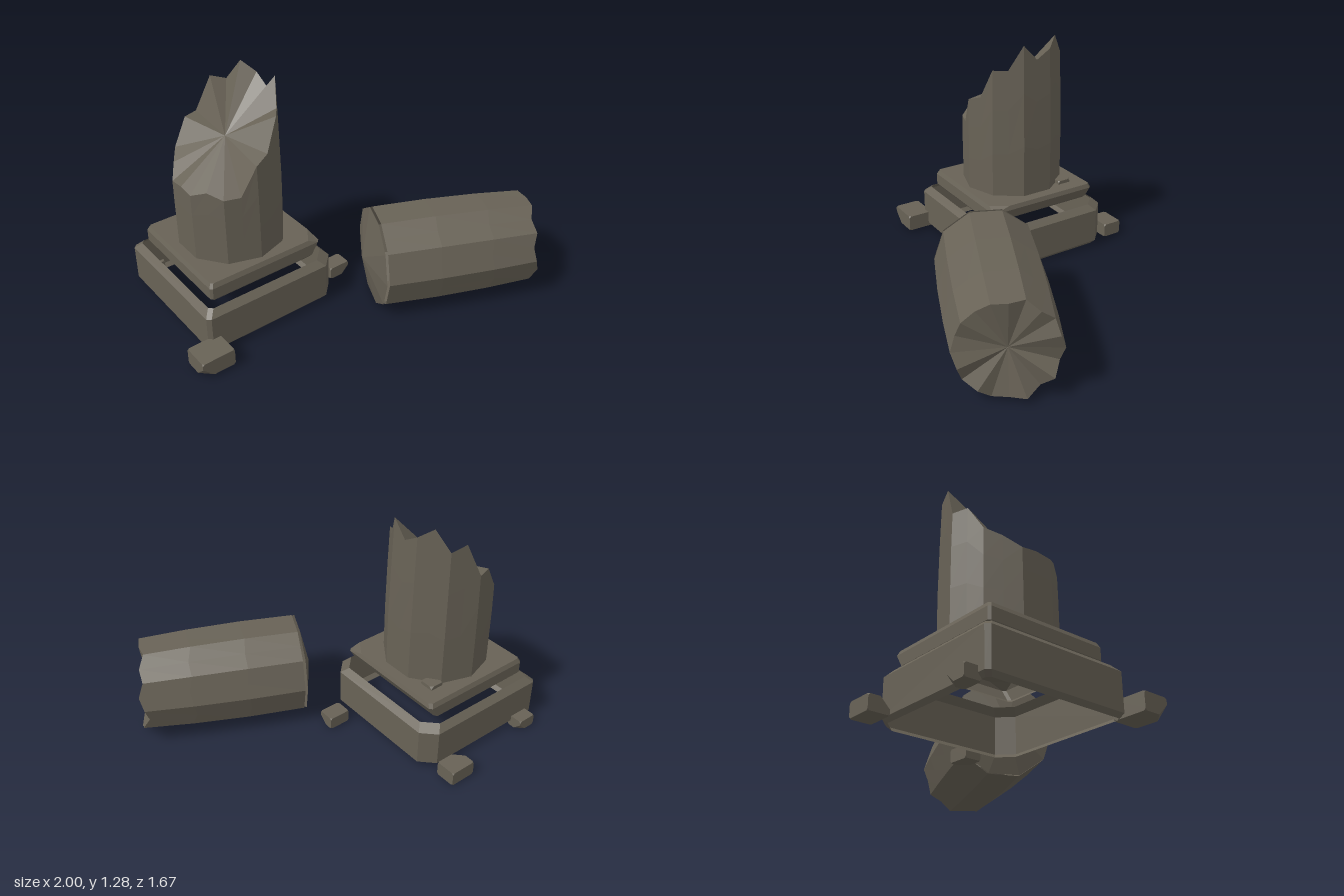
import * as THREE from 'three';
import { ConvexGeometry } from 'three/addons/geometries/ConvexGeometry.js';

const V = (x, y, z) => new THREE.Vector3(x, y, z);

// Skin a stack of equal-length rings; optional points close the bottom and top as fans
function loft(rings, topPoint, bottomPoint) {
  const pts = [];
  const n = rings[0].length;
  for (let r = 0; r + 1 < rings.length; r++) {
    const a = rings[r], b = rings[r + 1];
    for (let k = 0; k < n; k++) {
      const j = (k + 1) % n;
      pts.push(a[k], a[j], b[j], a[k], b[j], b[k]);
    }
  }
  const top = rings[rings.length - 1], low = rings[0];
  for (let k = 0; k < n; k++) {
    const j = (k + 1) % n;
    if (topPoint) pts.push(top[k], top[j], topPoint);
    if (bottomPoint) pts.push(low[j], low[k], bottomPoint);
  }
  const g = new THREE.BufferGeometry().setFromPoints(pts);
  g.computeVertexNormals();
  return g;
}

// Ten-sided ring with a point at each corner and at the middle of each side
function decagon(radius, height) {
  return Array.from({ length: 20 }, (_, k) => {
    const y = height(k), a = k * Math.PI / 10;
    const r = radius(y) * (k % 2 ? Math.cos(Math.PI / 10) : 1);
    return V(r * Math.sin(a), y, r * Math.cos(a));
  });
}

// Broken shaft with a swelling side and a jagged end
function shaft(start, ends, radius, apex) {
  const rings = [0, 0.35, 0.7, 1].map(t => decagon(radius, k => start + t * (ends[k] - start)));
  return loft(rings, V(0, apex, 0));
}

// Rectangle with cut corners: cl on the -x side, cr on the +x side
function rect(x0, x1, z0, z1, cl, cr, y) {
  return [
    [x0, z1 - cl], [x0 + cl, z1], [x1 - cr, z1], [x1, z1 - cr],
    [x1, z0 + cr], [x1 - cr, z0], [x0 + cl, z0], [x0, z0 + cl],
  ].map(([x, z]) => V(x, y, z));
}

// Small bevelled stone with one corner knocked off
function chunk([x0, x1], [y0, y1], [z0, z1], cut) {
  const w = (x1 - x0) / 2, h = (y1 - y0) / 2, d = (z1 - z0) / 2;
  const pts = [];
  for (const sx of [-1, 1]) for (const sy of [-1, 1]) for (const sz of [-1, 1]) {
    const hit = sx === cut[0] && sy === cut[1] && sz === cut[2];
    const b = hit ? Math.min(w, h, d) * 1.3 : 0.01;
    pts.push(
      V(sx * (w - b), sy * h, sz * d),
      V(sx * w, sy * (h - b), sz * d),
      V(sx * w, sy * h, sz * (d - b)),
    );
  }
  const g = new ConvexGeometry(pts);
  g.translate((x0 + x1) / 2, (y0 + y1) / 2, (z0 + z1) / 2);
  return g;
}

export function createModel() {
  const model = new THREE.Group();
  model.name = 'brokenColumn';
  const stone = new THREE.MeshStandardMaterial({ color: 0x686256, side: THREE.DoubleSide, flatShading: true });
  stone.name = 'weatheredStone';
  const add = (name, geometry, parent = model) => {
    const m = new THREE.Mesh(geometry, stone);
    m.name = name;
    parent.add(m);
    return m;
  };

  // Hollow plinth with bevelled rims, open above and below
  const plinth = [[0.02, 0.012], [0, 0.035], [0, 0.235], [0.035, 0.27]].map(([i, y]) =>
    rect(-0.88 + i, -0.065 - i, -0.69 + i, 0.12 - i, 0.02, 0.075, y));
  add('plinth', loft(plinth));

  // Upper slab: undercut on the +x side, front corner chipped
  const slab = [[0.012, 0.28, 0.055], [0, 0.295, 0.04], [0, 0.36, 0], [0.012, 0.385, 0.008]].map(([i, y, under]) =>
    rect(-0.815 + i, -0.13 - under, -0.625 + i, 0.055 - i, 0.012, 0.015, y));
  slab[3][2].x = -0.2;
  slab[3][3].z = -0.05;
  add('slab', loft(slab, V(-0.475, 0.385, -0.285)));

  // Standing shaft, heights run from the front round by +x
  const heights = [
    0.93, 0.96, 1.13, 1.13, 1.27, 1.18, 1.23, 1.285, 1.17, 1.2,
    1.01, 1.01, 0.87, 0.83, 0.77, 0.78, 0.77, 0.8, 0.77, 0.77,
  ];
  const standing = add('standingShaft', shaft(0.38, heights,
    y => 0.29 - 0.03 * Math.max(0, y - 0.7) ** 1.2, 0.98));
  standing.position.set(-0.475, 0, -0.28);

  // Fallen drum lying on its side, broken end away from the plinth
  const drum = new THREE.Group();
  drum.name = 'fallenDrum';
  const a = THREE.MathUtils.degToRad(24.5), c = Math.cos(a), s = Math.sin(a);
  drum.quaternion.setFromRotationMatrix(
    new THREE.Matrix4().makeBasis(V(0, -1, 0), V(c, 0, s), V(-s, 0, c)));
  drum.position.set(0.09, 0.27, 0.24);
  model.add(drum);
  const lengths = [
    0.845, 0.87, 0.84, 0.88, 0.86, 0.88, 0.91, 0.87, 0.9, 0.86,
    0.88, 0.9, 0.87, 0.88, 0.85, 0.87, 0.865, 0.84, 0.85, 0.83,
  ];
  const drumRadius = y => 0.276 + 0.03 * y - 0.06 * y * y;
  add('drumShaft', shaft(0.014, lengths, drumRadius, 0.84), drum);
  add('drumEndCap', loft([decagon(() => 0.276, () => 0)], null, V(0, -0.06, 0)), drum);

  // Rubble around the foot
  [
    [[-1, -0.815], [0.015, 0.108], [0.1, 0.25], [-1, -1, 1]],
    [[-0.82, -0.71], [0, 0.065], [-0.76, -0.67], [1, -1, -1]],
    [[-0.26, -0.11], [0.005, 0.085], [-0.84, -0.725], [-1, 1, 1]],
    [[-0.01, 0.115], [0.005, 0.075], [-0.1, -0.005], [1, -1, 1]],
    [[-0.3, -0.22], [0.38, 0.405], [-0.53, -0.45], [1, 1, -1]],
  ].forEach((r, i) => add('rubble' + (i + 1), chunk(...r)));

  return model;
}
